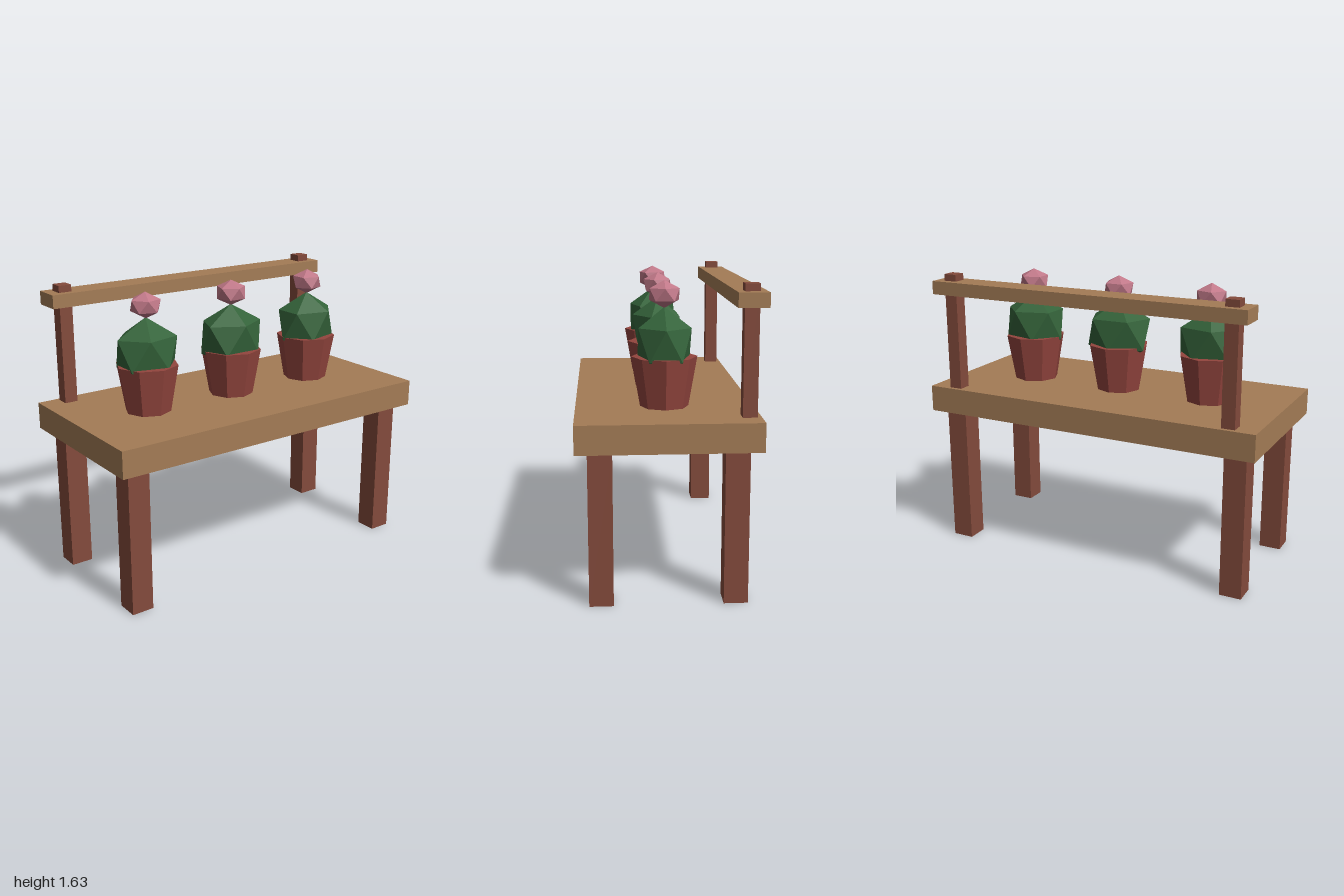
import * as THREE from 'three';

const mat = (name, color) => {
  const m = new THREE.MeshStandardMaterial({ color, flatShading: true });
  m.name = name;
  return m;
};

export function createModel() {
  const root = new THREE.Group();
  root.name = 'plantBench';
  const wood = mat('lightWood', 0xa47c56);
  const darkWood = mat('darkWood', 0x844b3c);
  const clay = mat('clay', 0x93453e);
  const green = mat('cactusGreen', 0x34633a);
  const pink = mat('blossomPink', 0xc07888);

  const add = (parent, name, geometry, material, x, y, z) => {
    const mesh = new THREE.Mesh(geometry, material);
    mesh.name = name;
    mesh.position.set(x, y, z);
    parent.add(mesh);
    return mesh;
  };
  // Box given by its base height and top height
  const box = (name, material, w, y0, y1, d, x, z) =>
    add(root, name, new THREE.BoxGeometry(w, y1 - y0, d), material, x, (y0 + y1) / 2, z);

  // Icosahedron standing on a vertex, turned by yaw and then stretched
  const gem = (parent, name, material, yaw, rx, ry, rz, x, y, z) => {
    const g = new THREE.IcosahedronGeometry(1, 0);
    g.rotateZ(Math.atan(2 / (1 + Math.sqrt(5))));
    g.rotateY(yaw);
    g.scale(rx, ry, rz);
    return add(parent, name, g, material, x, y, z);
  };

  const midZ = 0.008;

  // Table
  box('tableTop', wood, 2, 0.8125, 0.9625, 0.9375, 0, midZ);
  for (const side of [-1, 1]) {
    box('frontLeg', darkWood, 0.125, 0, 0.8125, 0.125, side * 0.875, midZ + 0.344);
    box('backLeg', darkWood, 0.125, 0, 0.8125, 0.125, side * 0.875, midZ - 0.344);
    box('railPost', darkWood, 0.075, 0.9625, 1.628, 0.075, side * 0.843, -0.4);
  }
  // Back rail
  box('backRail', wood, 1.875, 1.515, 1.59, 0.155, 0, -0.4);

  // Potted cacti
  [[-0.5625, 0, 0.197], [0, Math.PI / 2, 0.207], [0.5625, Math.PI, 0.197]].forEach(([x, yaw, rx]) => {
    const plant = new THREE.Group();
    plant.name = 'pottedCactus';
    plant.position.set(x, 0, midZ);
    root.add(plant);
    add(plant, 'pot', new THREE.CylinderGeometry(0.174, 0.128, 0.2635, 8), clay, 0, 1.0943, 0);
    gem(plant, 'cactus', green, yaw, rx, 0.188, 0.162, 0, 1.295, 0);
    gem(plant, 'blossom', pink, yaw, 0.093, 0.072, 0.091, 0, 1.549, 0);
  });

  return root;
}
